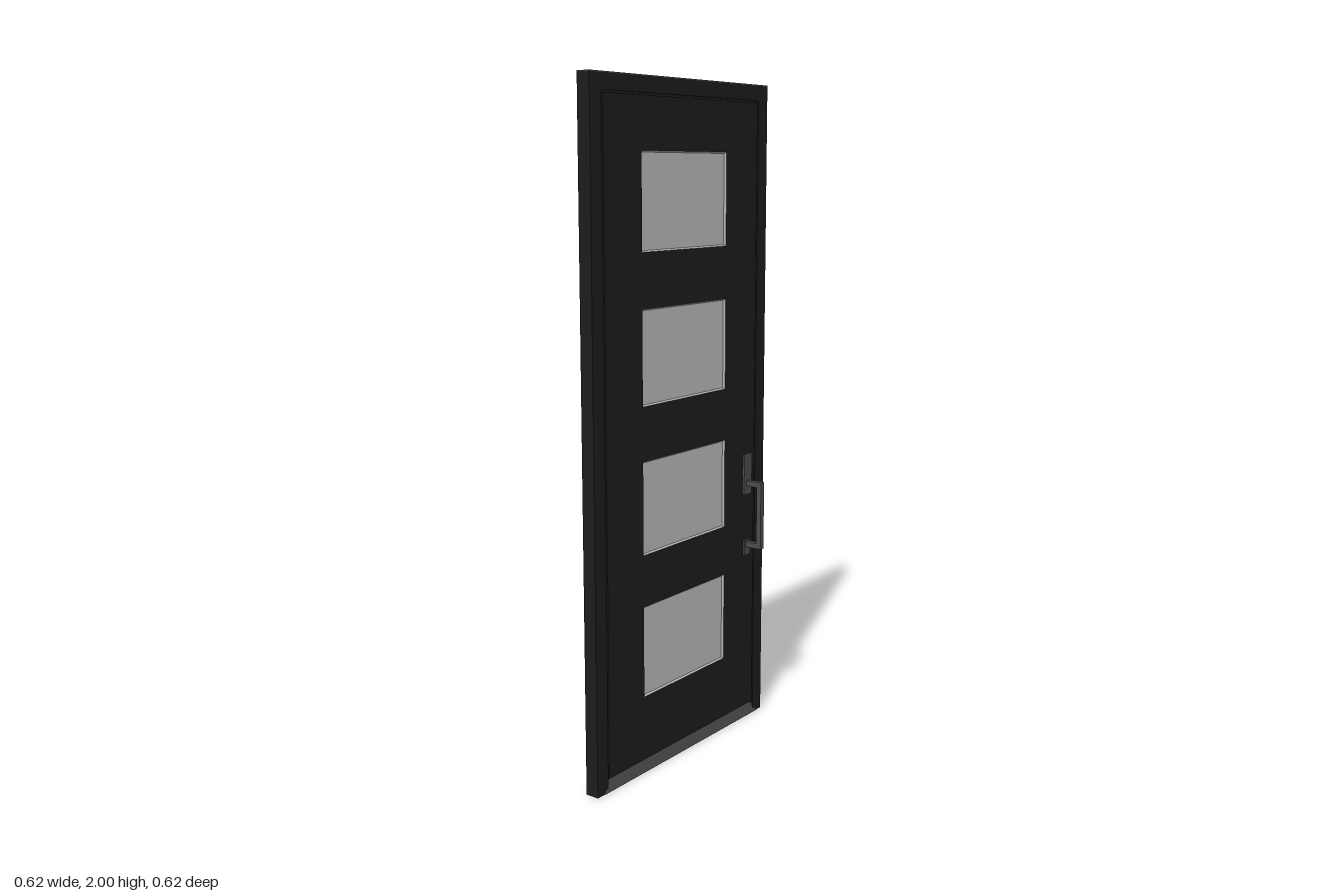
import * as THREE from 'three';

const mat = (name, color, side = THREE.FrontSide) => {
  const m = new THREE.MeshStandardMaterial({ color, side });
  m.name = name;
  return m;
};

export function createModel() {
  const black = mat('black paint', 0x1c1c1c);
  const brown = mat('brown edge', 0x48433d);
  const metal = mat('dark metal', 0x4c4c4e);
  const glass = mat('frosted glass', 0xb8b8b8, THREE.DoubleSide);

  const model = new THREE.Group();
  const door = new THREE.Group();
  door.name = 'door';
  door.rotation.y = Math.PI / 4;
  model.add(door);

  const add = (name, geometry, material, x = 0, y = 0, z = 0) => {
    const mesh = new THREE.Mesh(geometry, material);
    mesh.name = name;
    mesh.position.set(x, y, z);
    door.add(mesh);
    return mesh;
  };
  const box = (name, material, w, h, d, x, y, z) =>
    add(name, new THREE.BoxGeometry(w, h, d), material, x, y, z);
  const rect = (Type, x0, y0, x1, y1) => {
    const p = new Type();
    p.moveTo(x0, y0);
    p.lineTo(x1, y0);
    p.lineTo(x1, y1);
    p.lineTo(x0, y1);
    p.closePath();
    return p;
  };
  const slab = (name, shape, back, front) =>
    add(name, new THREE.ExtrudeGeometry(shape, { depth: front - back, bevelEnabled: false }), black, 0, 0, back);

  // Outer frame: two jambs and a head, open at the bottom
  const W = 0.413, IN = 0.368, HEAD = 1.953, DEPTH = 0.021;
  const frame = new THREE.Shape();
  [[-W, 0], [-IN, 0], [-IN, HEAD], [IN, HEAD], [IN, 0], [W, 0], [W, 1.997], [-W, 1.997]]
    .forEach(([x, y], i) => (i ? frame.lineTo(x, y) : frame.moveTo(x, y)));
  slab('frame', frame, -DEPTH, DEPTH);
  box('topEdge', brown, 2 * W + 0.004, 0.003, 2 * DEPTH, 0, 1.9985, 0);
  box('lockSideEdge', brown, 0.002, 1.997, 2 * DEPTH, W + 0.001, 0.9985, 0);
  box('hingeSideEdge', black, 0.002, 1.997, 2 * DEPTH, -W - 0.001, 0.9985, 0);

  // Rim of the leaf, standing a little proud at the back
  const rim = rect(THREE.Shape, -IN, 0.034, IN, HEAD);
  rim.holes.push(rect(THREE.Path, -IN + 0.01, 0.044, IN - 0.01, HEAD - 0.01));
  slab('leafRim', rim, -0.027, 0.015);

  // Front panel with four window openings
  const BACK = 0.01, FRONT = 0.021, HALF = 0.201, WIN_H = 0.274;
  const centres = [0.372, 0.8, 1.232, 1.663];
  const panel = rect(THREE.Shape, -IN + 0.006, 0.04, IN - 0.006, HEAD - 0.006);
  for (const y of centres)
    panel.holes.push(rect(THREE.Path, -HALF, y - WIN_H / 2, HALF, y + WIN_H / 2));
  slab('leafPanel', panel, BACK, FRONT);

  // Panes, with a sloping reveal on the front
  for (const y of centres) {
    box('windowPane', glass, 2 * HALF, WIN_H, 0.005, 0, y, 0.0135);
    const g = new THREE.CylinderGeometry(Math.SQRT1_2, Math.SQRT1_2 * 0.97, 0.005, 4, 1, true);
    g.rotateY(Math.PI / 4).rotateX(Math.PI / 2).scale(2 * HALF, WIN_H, 1);
    const reveal = g.toNonIndexed();
    reveal.computeVertexNormals();
    add('windowReveal', reveal, glass, 0, y, 0.0185);
  }

  // Sloping threshold with mitred ends
  const sill = new THREE.BoxGeometry(0.776, 0.038, 0.046);
  const p = sill.attributes.position;
  for (let i = 0; i < p.count; i++) {
    if (p.getY(i) < 0) continue;
    p.setX(i, Math.sign(p.getX(i)) * 0.36);
    p.setZ(i, Math.sign(p.getZ(i)) * 0.016);
  }
  sill.computeVertexNormals();
  add('threshold', sill, metal, 0, 0.019, 0);

  // Lock plates, showing on both faces of the panel
  const HX = 0.321;
  box('lockPlate', metal, 0.042, 0.13, 0.02, HX, 0.81, 0.017);
  box('lowerPlate', metal, 0.03, 0.05, 0.02, HX, 0.572, 0.017);

  // Pull handle on the front
  box('handleBar', metal, 0.018, 0.215, 0.016, HX, 0.682, 0.074);
  for (const y of [0.781, 0.583])
    box('handleArm', metal, 0.018, 0.017, 0.044, HX, y, 0.046);

  return model;
}
